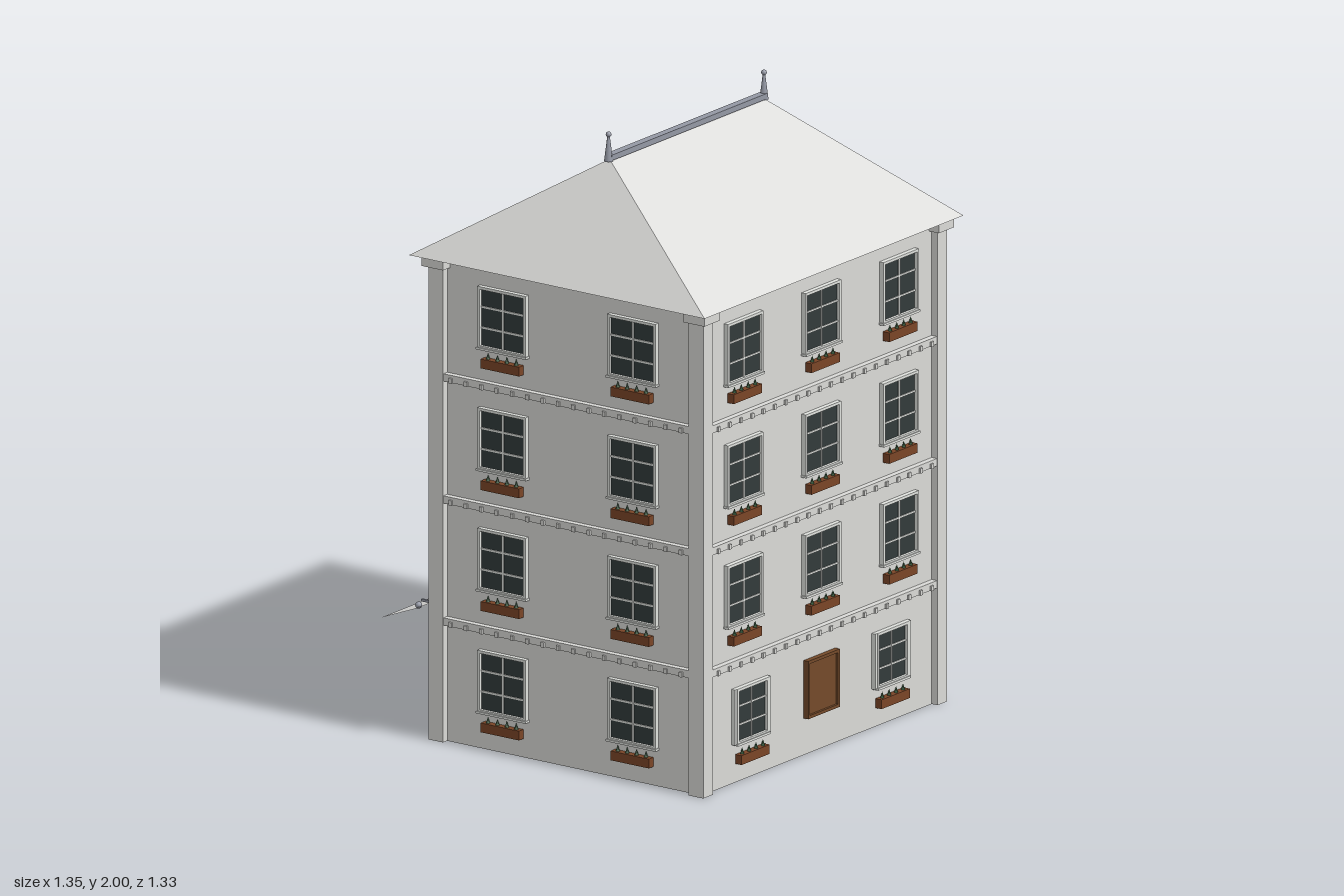
import * as THREE from 'three';

const mat = (name, color) => {
  const m = new THREE.MeshStandardMaterial({ color });
  m.name = name;
  return m;
};

export function createModel() {
  const wall = mat('wall', 0xdadad7);
  const roofMat = mat('roof', 0xdcdcda);
  const trim = mat('trim', 0xe0e2de);
  const glass = mat('glass', 0x323b3b);
  const doorWood = mat('doorWood', 0x744a2a);
  const boxWood = mat('boxWood', 0x7a4527);
  const leaf = mat('leaf', 0x35573a);
  const metal = mat('metal', 0x9498a4);
  const canvas = mat('canvas', 0xdcdcda);
  canvas.side = THREE.DoubleSide;

  const model = new THREE.Group();
  model.name = 'townhouse';

  const add = (parent, name, geo, material, x = 0, y = 0, z = 0) => {
    const mesh = new THREE.Mesh(geo, material);
    mesh.name = name;
    mesh.position.set(x, y, z);
    parent.add(mesh);
    return mesh;
  };
  const box = (parent, name, material, w, h, d, x, y, z) =>
    add(parent, name, new THREE.BoxGeometry(w, h, d), material, x, y, z);

  const HX = 0.635, Z0 = -0.425, Z1 = 0.628, IN = 0.022, TOP = 1.565;
  const CZ = (Z0 + Z1) / 2, HZ = (Z1 - Z0) / 2;

  // Recessed wall block, corner pilasters and capitals
  box(model, 'walls', wall, 2 * (HX - IN), TOP, 2 * (HZ - IN), 0, TOP / 2, CZ);
  for (const sx of [-1, 1]) for (const sz of [-1, 1]) {
    box(model, 'cornerPilaster', wall, 0.05, TOP, 0.056, sx * (HX - 0.025), TOP / 2, CZ + sz * (HZ - 0.028));
    box(model, 'capital', wall, 0.078, 0.035, 0.082, sx * 0.611, 1.547, CZ + sz * (HZ - 0.026));
  }

  // Hipped roof with a closed underside
  const ex = 0.675, ez0 = -0.47, ez1 = 0.662, rx = 0.4, ry = 1.91, rz = 0.096;
  const P = [[-ex, TOP, ez1], [ex, TOP, ez1], [ex, TOP, ez0], [-ex, TOP, ez0], [-rx, ry, rz], [rx, ry, rz]];
  const tris = [0, 1, 5, 0, 5, 4, 2, 3, 4, 2, 4, 5, 1, 2, 5, 3, 0, 4, 0, 3, 2, 0, 2, 1];
  const roofGeo = new THREE.BufferGeometry();
  roofGeo.setAttribute('position', new THREE.Float32BufferAttribute(tris.flatMap(i => P[i]), 3));
  roofGeo.computeVertexNormals();
  add(model, 'roof', roofGeo, roofMat);

  // Ridge cap and finials
  box(model, 'ridgeCap', metal, 0.81, 0.018, 0.026, 0, 1.917, rz);
  for (const s of [-1, 1]) {
    add(model, 'finialSpike', new THREE.CylinderGeometry(0.004, 0.014, 0.08, 12), metal, s * 0.405, 1.945, rz);
    add(model, 'finialBall', new THREE.SphereGeometry(0.009, 12, 8), metal, s * 0.405, 1.991, rz);
  }

  // One group per face; inside it z = 0 is the wall plane and +z is outward
  const face = (name, x, z, turn) => {
    const g = new THREE.Group();
    g.name = name;
    g.position.set(x, 0, z);
    g.rotation.y = turn;
    model.add(g);
    return g;
  };
  const front = face('frontFace', 0, Z1 - IN, 0);
  const back = face('backFace', 0, Z0 + IN, Math.PI);
  const right = face('positiveSide', HX - IN, CZ, Math.PI / 2);
  const left = face('negativeSide', -HX + IN, CZ, -Math.PI / 2);

  // Picture frame of four bars
  const frame = (g, name, material, w, h, t, d, y = 0) => {
    for (const s of [-1, 1]) {
      box(g, name, material, t, h, d, s * (w - t) / 2, y, d / 2);
      box(g, name, material, w - 2 * t, t, d, 0, y + s * (h - t) / 2, d / 2);
    }
  };

  // Sash window: glass, frame, glazing bars and sill
  const makeWindow = (parent, x, y, w = 0.185, h = 0.2) => {
    const g = new THREE.Group();
    g.name = 'window';
    g.position.set(x, y, 0);
    parent.add(g);
    box(g, 'pane', glass, w - 0.01, h - 0.01, 0.006, 0, 0, 0.003);
    frame(g, 'windowFrame', trim, w, h, 0.009, 0.016);
    box(g, 'glazingBar', trim, 0.007, h - 0.018, 0.01, 0, 0, 0.005);
    for (const s of [-1, 1])
      box(g, 'glazingBar', trim, w - 0.018, 0.006, 0.009, 0, s * h / 6, 0.0045);
    box(g, 'sill', trim, w + 0.006, 0.007, 0.02, 0, -h / 2, 0.01);
  };

  // Planter with four small plants
  const plantGeo = new THREE.ConeGeometry(0.009, 0.026, 6);
  const makePlanter = (parent, x, y) => {
    const g = new THREE.Group();
    g.name = 'flowerBox';
    g.position.set(x, y, 0);
    parent.add(g);
    box(g, 'planter', boxWood, 0.147, 0.03, 0.024, 0, 0, 0.012);
    for (let i = 0; i < 4; i++)
      add(g, 'plant', plantGeo, leaf, -0.054 + i * 0.036, 0.022, 0.012);
  };

  const floors = [0.22, 0.614, 1.003, 1.395];
  const planters = [0.075, 0.467, 0.857, 1.25];
  for (let f = 0; f < 4; f++) {
    // Window columns on the sides
    for (const [g, s] of [[right, 1], [left, -1]])
      for (const z of [0.347, -0.15]) {
        const u = -s * (z - CZ);
        makeWindow(g, u, floors[f]);
        makePlanter(g, u, planters[f]);
      }
    // Window columns on the front and back
    if (f > 0) for (const g of [front, back]) for (const x of [-0.405, 0, 0.405]) {
      makeWindow(g, x, floors[f]);
      makePlanter(g, x, planters[f]);
    }
  }

  // Ground floor front: two windows with side trim, planters and the door
  for (const s of [-1, 1]) {
    makeWindow(front, s * 0.365, 0.215, 0.165, 0.18);
    for (const t of [-1, 1])
      box(front, 'windowSurround', trim, 0.012, 0.18, 0.014, s * 0.365 + t * 0.087, 0.215, 0.007);
    makePlanter(front, s * 0.365, 0.075);
  }
  box(front, 'frontDoor', doorWood, 0.165, 0.187, 0.01, 0, 0.212, 0.005);
  frame(front, 'frontDoorFrame', doorWood, 0.165, 0.187, 0.01, 0.018, 0.212);

  // String courses with dentils between the pilasters
  for (const [g, half] of [[front, 0.585], [back, 0.585], [right, HZ - 0.056], [left, HZ - 0.056]])
    for (const y of [0.39, 0.784, 1.178]) {
      box(g, 'stringCourse', wall, half * 2, 0.024, 0.02, 0, y, 0.01);
      const n = Math.round(half * 2 / 0.06);
      for (let i = 0; i < n; i++)
        box(g, 'dentil', wall, 0.012, 0.016, 0.026, -half + (i + 0.5) * 2 * half / n, y - 0.005, 0.013);
    }

  // Shop front: display windows, posts and double door
  for (const s of [-1, 1]) {
    const g = new THREE.Group();
    g.name = 'displayWindow';
    g.position.set(s * 0.35, 0.2, 0);
    back.add(g);
    box(g, 'displayPane', glass, 0.35, 0.24, 0.006, 0, 0, 0.003);
    frame(g, 'displayFrame', trim, 0.37, 0.26, 0.014, 0.018);
    box(back, 'doorPost', wall, 0.026, 0.38, 0.02, s * 0.13, 0.19, 0.01);
    box(back, 'doorLeaf', doorWood, 0.094, 0.28, 0.01, s * 0.049, 0.185, 0.005);
    box(back, 'doorPanel', doorWood, 0.062, 0.11, 0.014, s * 0.049, 0.25, 0.007);
    box(back, 'doorPanel', doorWood, 0.062, 0.09, 0.014, s * 0.049, 0.115, 0.007);
    box(back, 'doorHandle', metal, 0.008, 0.06, 0.02, s * 0.012, 0.19, 0.01);
  }

  // Sloping awning, its rods and the row of bulbs
  const awning = new THREE.PlaneGeometry(1.117, Math.hypot(0.14, 0.056));
  awning.rotateX(-Math.PI / 2 - Math.atan2(0.056, 0.14));
  awning.rotateY(Math.PI);
  // keep the edge nearest the wall highest
  const ap = awning.attributes.position;
  for (let i = 0; i < ap.count; i++) ap.setY(i, ap.getZ(i) > 0 ? 0.028 : -0.028);
  awning.computeVertexNormals();
  add(model, 'awning', awning, canvas, 0, 0.358, -0.595);
  for (const s of [-1, 1])
    box(model, 'awningRod', metal, 0.007, 0.008, 0.13, s * 0.52, 0.402, -0.47);
  const bulb = new THREE.SphereGeometry(0.011, 10, 8);
  for (let i = 0; i < 14; i++)
    add(model, 'bulb', bulb, metal, -0.52 + i * 0.08, 0.383, -0.547);

  // Balcony: floor plate and railing
  box(model, 'balconyFloor', wall, 0.33, 0.012, 0.125, 0, 0.405, -0.468);
  for (const y of [0.435, 0.527])
    box(model, 'balconyRail', metal, 0.34, 0.009, 0.011, 0, y, -0.534);
  for (let i = 0; i < 8; i++)
    box(model, 'baluster', metal, 0.009, 0.105, 0.009, -0.163 + i * 0.0466, 0.482, -0.534);
  for (const s of [-1, 1])
    box(model, 'balconySideRail', metal, 0.008, 0.01, 0.13, s * 0.165, 0.48, -0.468);

  return model;
}
